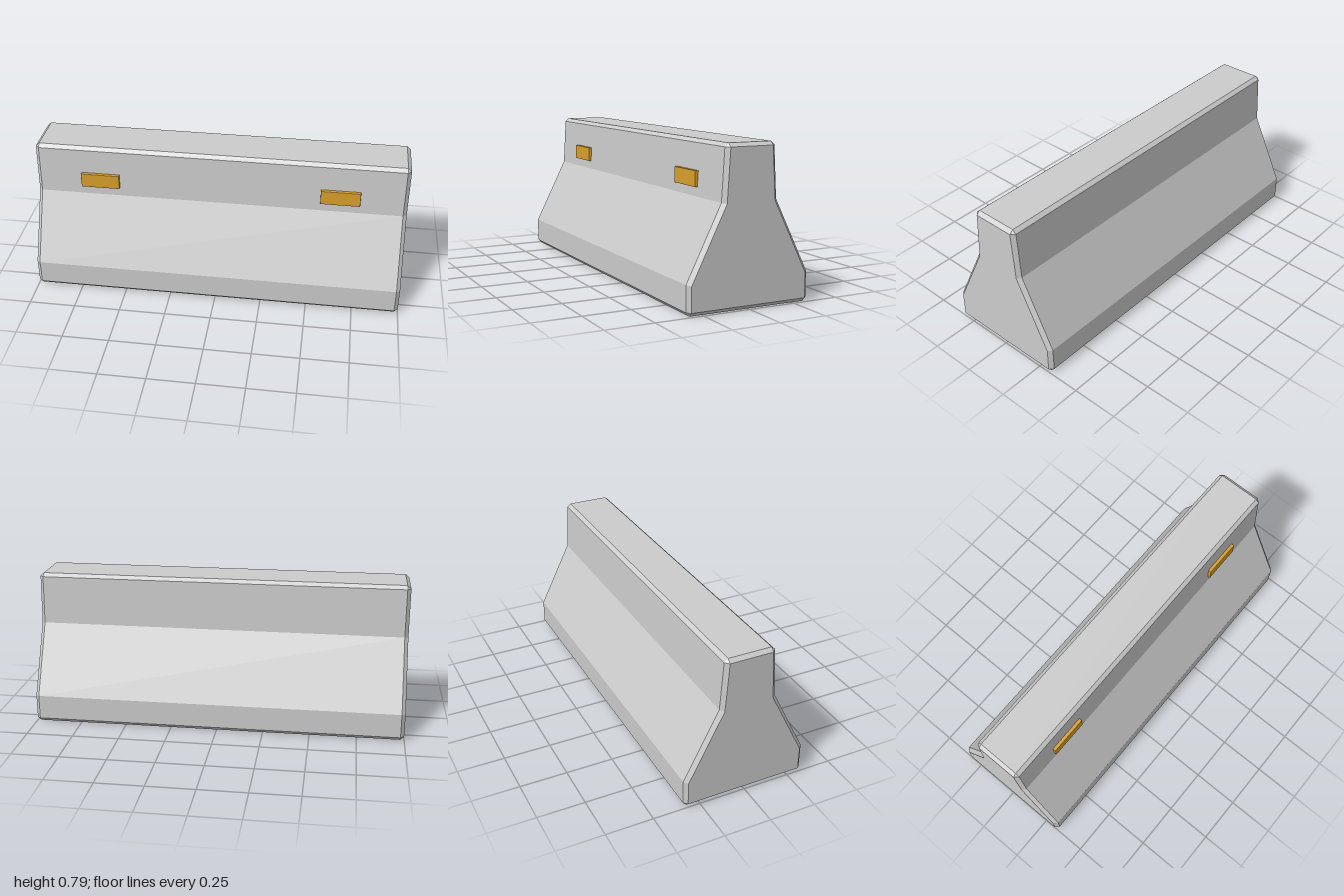
import * as THREE from 'three';
import { RoundedBoxGeometry } from 'three/addons/geometries/RoundedBoxGeometry.js';

// Half profiles [z, y] from the base to the crown
const BODY = [[0.314, 0], [0.333, 0.02], [0.333, 0.15], [0.15, 0.515], [0.135, 0.772], [0.115, 0.79]];
const END = [[0.314, 0.02], [0.314, 0.02], [0.314, 0.146], [0.131, 0.511], [0.115, 0.772], [0.115, 0.772]];

// Mirrors a half profile into a closed loop placed at x
function ring(half, x) {
  const mirrored = half.map(([z, y]) => [-z, y]).reverse();
  return [...half, ...mirrored].map(([z, y]) => new THREE.Vector3(x, y, z));
}

// Lofts the rings from -x to +x and closes both ends
function loft(rings) {
  const points = [];
  const tri = (a, b, c) => {
    if (new THREE.Triangle(a, b, c).getArea() > 1e-8) points.push(a, b, c);
  };
  const quad = (a, b, c, d) => { tri(a, b, c); tri(a, c, d); };
  const n = rings[0].length;

  for (let r = 0; r < rings.length - 1; r++) {
    const A = rings[r], B = rings[r + 1];
    for (let i = 0; i < n; i++) {
      const j = (i + 1) % n;
      quad(A[i], B[i], B[j], A[j]);
    }
  }
  const first = rings[0], last = rings[rings.length - 1];
  for (let k = 0; k < n / 2 - 1; k++) {
    const m = n - 1 - k;
    quad(first[k], first[k + 1], first[m - 1], first[m]);
    quad(last[m], last[m - 1], last[k + 1], last[k]);
  }
  const geometry = new THREE.BufferGeometry().setFromPoints(points);
  geometry.computeVertexNormals();
  return geometry;
}

export function createModel() {
  const group = new THREE.Group();
  group.name = 'roadBarrier';

  // Concrete body with chamfered ends, base and crown
  const concrete = new THREE.MeshStandardMaterial({ color: 0xcccccc, flatShading: true });
  const body = new THREE.Mesh(
    loft([ring(END, -1), ring(BODY, -0.98), ring(BODY, 0.98), ring(END, 1)]), concrete);
  body.name = 'barrierBody';
  group.add(body);

  // Amber reflectors set into the upper front face
  const amber = new THREE.MeshStandardMaterial({ color: 0xd9a02c, flatShading: true });
  const plate = new RoundedBoxGeometry(0.21, 0.08, 0.03, 1, 0.003);
  for (const [side, name] of [[1, 'leftReflector'], [-1, 'rightReflector']]) {
    const reflector = new THREE.Mesh(plate, amber);
    reflector.name = name;
    reflector.position.set(side * 0.647, 0.6, 0.145);
    group.add(reflector);
  }
  return group;
}
